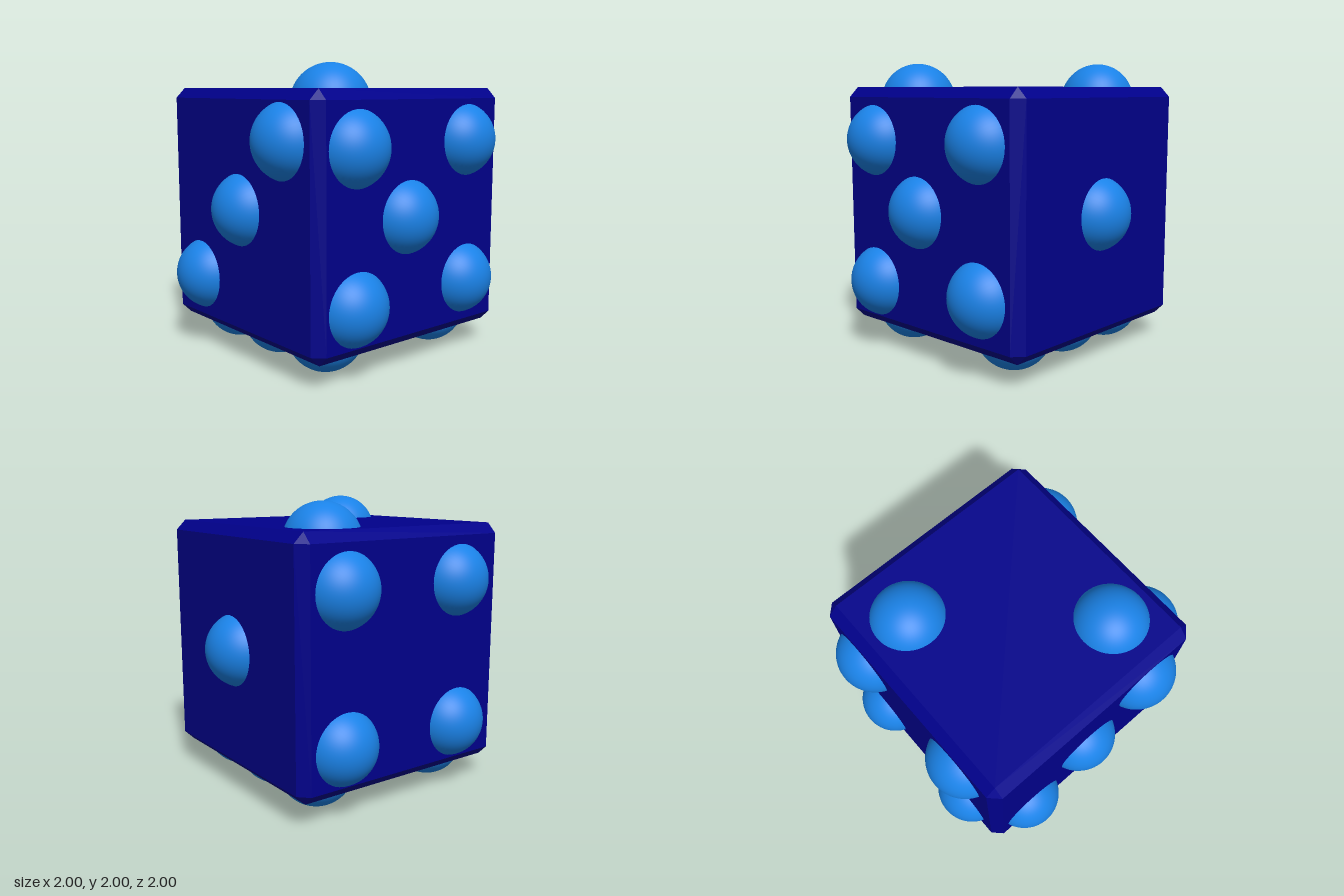
import * as THREE from 'three';
import { ConvexGeometry } from 'three/addons/geometries/ConvexGeometry.js';

const HALF = 0.8375;  // half the cube's width
const BEVEL = 0.068;  // width of the cut edges
const R = 0.26;       // pip sphere radius
const SINK = 0.0975;  // how far the pip centre lies below its face

// Pip positions on each face, as [x, y, z] with the face's own axis left at 0
const FACES = [
  { name: 'front', dir: [0, 0, 1], pips: [[0.475, 0.515, 0], [0.01, 0.04, 0], [-0.48, -0.48, 0]] },
  { name: 'back', dir: [0, 0, -1], pips: [[0, 0.005, 0]] },
  { name: 'left', dir: [1, 0, 0], pips: [[0, 0.475, 0.51], [0, 0.49, -0.49], [0, 0.015, 0.07], [0, -0.52, 0.51], [0, -0.475, -0.49]] },
  { name: 'right', dir: [-1, 0, 0], pips: [[0, 0.475, -0.495], [0, 0.47, 0.445], [0, -0.52, -0.495], [0, -0.515, 0.445]] },
  { name: 'top', dir: [0, 1, 0], pips: [[-0.47, 0, -0.42], [0.485, 0, 0.44]] },
  { name: 'bottom', dir: [0, -1, 0], pips: [[-0.49, 0, 0.5], [0.01, 0, 0.5], [0.505, 0, 0.5], [-0.49, 0, -0.49], [0.005, 0, -0.49], [0.495, 0, -0.49]] },
];

// Cube with flat cut edges and corners
function bevelledCube() {
  const a = HALF, b = HALF - BEVEL, points = [];
  for (const x of [-1, 1]) for (const y of [-1, 1]) for (const z of [-1, 1]) {
    points.push(
      new THREE.Vector3(x * a, y * b, z * b),
      new THREE.Vector3(x * b, y * a, z * b),
      new THREE.Vector3(x * b, y * b, z * a));
  }
  return new ConvexGeometry(points);
}

export function createModel() {
  const model = new THREE.Group();
  model.name = 'die';
  const navy = new THREE.MeshStandardMaterial({ name: 'dark blue', color: 0x00008b });
  const blue = new THREE.MeshStandardMaterial({ name: 'bright blue', color: 0x1e90ff });

  const body = new THREE.Mesh(bevelledCube(), navy);
  body.name = 'body';
  body.position.y = 1;
  model.add(body);

  // Domed pips: sphere caps that reach just below the face
  const cap = new THREE.SphereGeometry(R, 48, 20, 0, Math.PI * 2, 0, Math.acos((SINK - 0.01) / R));
  const up = new THREE.Vector3(0, 1, 0);
  for (const face of FACES) {
    const group = new THREE.Group();
    group.name = face.name + 'Pips';
    group.position.y = 1;
    const dir = new THREE.Vector3(...face.dir);
    face.pips.forEach((p, i) => {
      const pip = new THREE.Mesh(cap, blue);
      pip.name = `${face.name}Pip${i + 1}`;
      pip.position.set(...p).addScaledVector(dir, HALF - SINK);
      pip.quaternion.setFromUnitVectors(up, dir);
      group.add(pip);
    });
    model.add(group);
  }
  return model;
}
